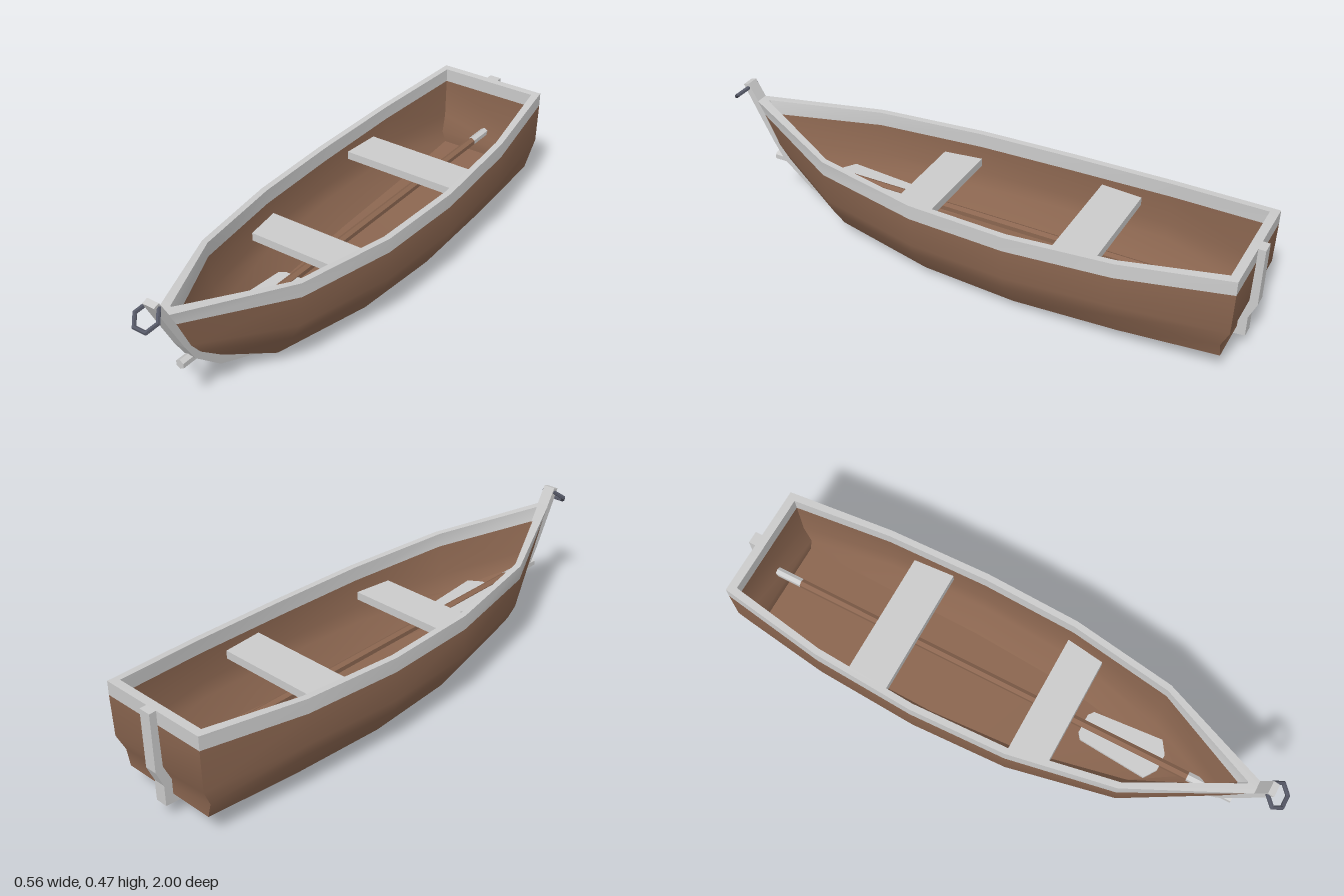
import * as THREE from 'three';
import { toCreasedNormals } from 'three/addons/utils/BufferGeometryUtils.js';

const wood = new THREE.MeshStandardMaterial({ color: 0x8b6650, side: THREE.DoubleSide });
const grey = new THREE.MeshStandardMaterial({ color: 0xcccccc, side: THREE.DoubleSide });
const iron = new THREE.MeshStandardMaterial({ color: 0x555866, flatShading: true });

// Half sections from bow to stern: sheer, rail edge, two chines, bottom edge, each [x, y, z]
const at = (z, pts) => pts.map(([x, y]) => [x, y, z]);
const sections = [
  [[.02, .41, .9], [.02, .36, .872], [.02, .25, .82], [.02, .2, .78], [.02, .13, .69]],
  at(.5, [[.2, .367], [.2, .315], [.187, .2], [.157, .14], [.095, .05]]),
  at(.12, [[.265, .35], [.265, .297], [.263, .19], [.242, .14], [.17, .035]]),
  at(-.23, [[.278, .35], [.278, .297], [.278, .19], [.264, .14], [.192, .035]]),
  at(-.6, [[.26, .367], [.262, .315], [.262, .205], [.247, .155], [.19, .055]]),
  [[.21, .4, -.975], [.21, .35, -.975], [.208, .2, -.972], [.2, .14, -.945], [.185, .085, -.945]],
];
const last = sections.length - 1;

// Inside face: moved in by the plank thickness
const inner = sections.map((s, i) => s.map(([x, y, z], j) => [
  Math.max(x - .023, .003),
  j === 4 ? y + .015 : y,
  z + (i === 0 ? -.04 : i === last ? .03 : 0),
]));

const mirror = (s) => s.map(([x, y, z]) => [-x, y, z]);

// Sections down one side, across the stern and back up the other side
const loop = (secs) => [...secs, ...secs.map(mirror).reverse(), secs[0]];

// Skin over rows of points
function loft(rows) {
  const n = rows[0].length, index = [];
  for (let i = 0; i < rows.length - 1; i++) {
    for (let j = 0; j < n - 1; j++) {
      const a = i * n + j, b = a + n;
      index.push(a, a + 1, b, b, a + 1, b + 1);
    }
  }
  const geo = new THREE.BufferGeometry();
  geo.setAttribute('position', new THREE.Float32BufferAttribute(rows.flat(2), 3));
  geo.setIndex(index);
  return toCreasedNormals(geo, .6);
}

// Flat outline of [u, v] points, extruded by depth
function slab(points, depth) {
  const shape = new THREE.Shape(points.map(([u, v]) => new THREE.Vector2(u, v)));
  return new THREE.ExtrudeGeometry(shape, { depth, bevelEnabled: false });
}

// Horizontal board from half widths [x, z], symmetric about the centre line
function board(half, top, thick) {
  const pts = [...half, ...half.map(([x, z]) => [-x, z]).reverse()];
  return slab(pts, thick).rotateX(Math.PI / 2).translate(0, top, 0);
}

export function createModel() {
  const boat = new THREE.Group();
  boat.name = 'rowingBoat';
  const add = (name, geo, mat) => {
    const mesh = new THREE.Mesh(geo, mat);
    mesh.name = name;
    boat.add(mesh);
    return mesh;
  };

  // Planked sides, transom and bottom, outside and inside
  for (const [label, secs] of [['outer', sections], ['inner', inner]]) {
    add(label + 'Planking', loft(loop(secs).map((s) => s.slice(1))), wood);
    const floor = secs.map((s) => [s[4], mirror(s)[4]]);
    add(label + 'Floor', loft(label === 'outer' ? floor : floor.reverse()), wood);
  }

  // Rail around the whole top edge
  const innerLoop = loop(inner);
  add('rail', loft(loop(sections).map((s, i) =>
    [innerLoop[i][1], innerLoop[i][0], s[0], s[1]])), grey);

  // Stern post, keel and stem in one side outline [z, y]
  const keel = slab([
    [-1, .4], [-1, .19], [-.975, .13], [-.975, .055], [-.6, .023], [-.2, 0], [.2, 0], [.5, .018],
    [.69, .096], [.8, .19], [.84, .255], [.893, .355], [.95, .465], [.928, .472],
    [.89, .405], [.86, .36], [.79, .225], [.68, .14], [.5, .055], [.2, .04], [-.2, .04], [-.6, .06],
    [-.94, .09], [-.94, .14], [-.968, .2], [-.968, .4],
  ], .045);
  add('keelAndStem', keel.rotateY(-Math.PI / 2).translate(.0225, 0, 0), grey);

  // Seats
  add('frontSeat', board([[.225, .11], [.205, .25]], .26, .03), grey);
  add('rearSeat', board([[.23, -.5], [.24, -.35]], .285, .03), grey);

  // Oar lying along the centre line
  const rod = (name, z0, z1, r, mat) => {
    const geo = toCreasedNormals(new THREE.CylinderGeometry(r, r, z1 - z0, 6), .5);
    add(name, geo.rotateX(Math.PI / 2).translate(0, .185, (z0 + z1) / 2), mat);
  };
  rod('oarShaft', -.84, .68, .016, wood);
  rod('oarGrip', -.94, -.84, .016, grey);
  rod('oarTip', .68, .845, .017, grey);
  add('oarBlade', board([[.035, .285], [.055, .3], [.075, .55], [.03, .58]], .19, .012), grey);

  // Mooring ring on the stem head
  const ring = add('mooringRing', new THREE.TorusGeometry(.045, .008, 6, 6), iron);
  ring.position.set(0, .43, .96);
  ring.rotation.x = -.87;

  return boat;
}
